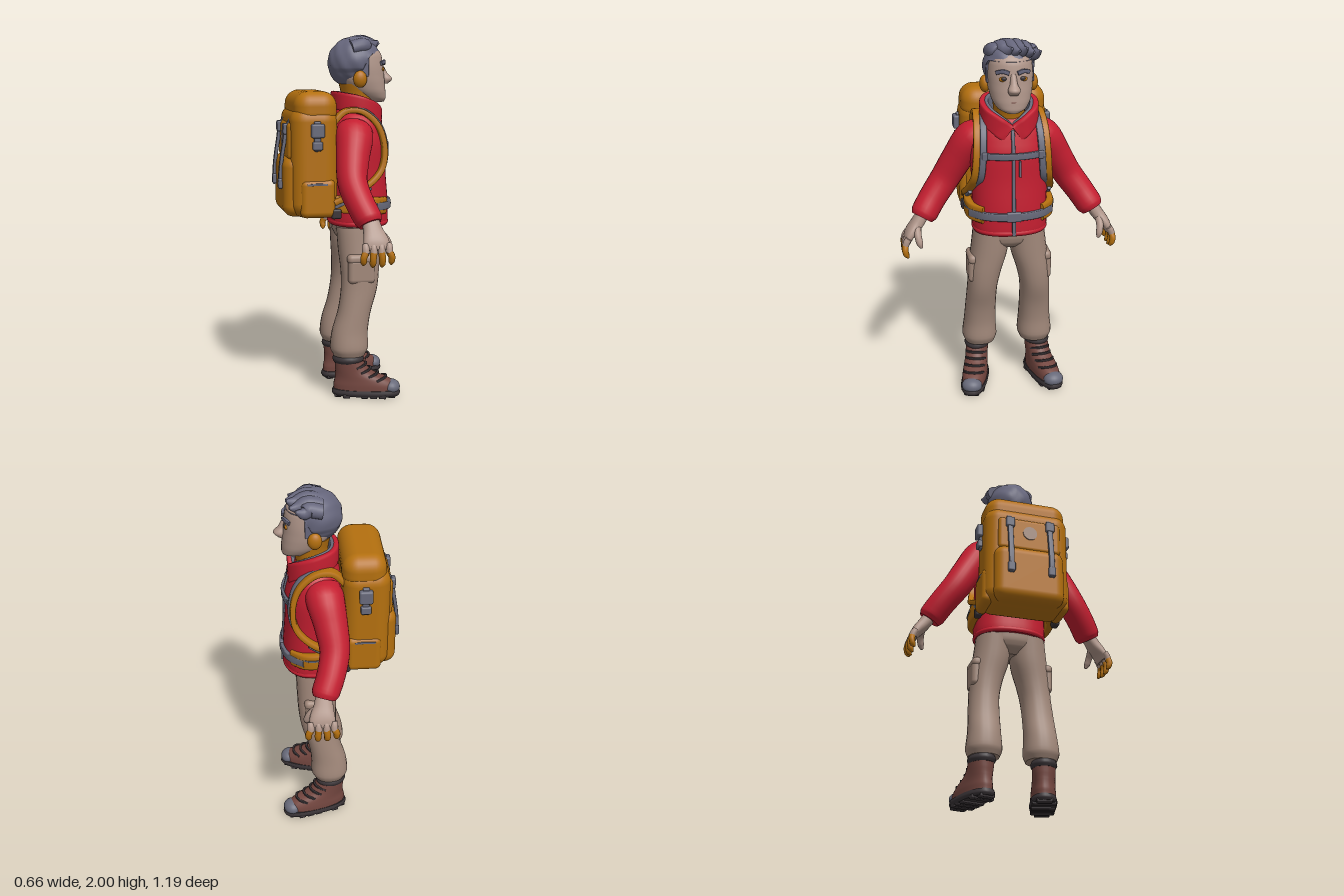
import * as THREE from 'three';
import { RoundedBoxGeometry } from 'three/addons/geometries/RoundedBoxGeometry.js';

const paint = (name, color) => {
  const m = new THREE.MeshStandardMaterial({ color });
  m.name = name;
  return m;
};

const X = new THREE.Vector3(1, 0, 0), Y = new THREE.Vector3(0, 1, 0), Z = new THREE.Vector3(0, 0, 1);

// Smooth loft through rows of [x, y, z, radiusU, radiusV]; u follows the ref axis.
// level keeps every ring horizontal (rows run upward), pow squares off the ellipse.
function loft(rows, { ref = X, level = false, pow = 2, n = 24, steps = 4 } = {}) {
  const centre = new THREE.CatmullRomCurve3(rows.map(r => new THREE.Vector3(r[0], r[1], r[2])));
  const radius = new THREE.CatmullRomCurve3(rows.map(r => new THREE.Vector3(r[3], r[4], 0)));
  const count = (rows.length - 1) * steps, pos = [], idx = [];
  const bend = c => Math.sign(c) * Math.abs(c) ** (2 / pow);
  for (let i = 0; i <= count; i++) {
    const k = i / count, p = centre.getPoint(k), r = radius.getPoint(k);
    const t = level ? Y.clone() : centre.getTangent(k);
    const u = ref.clone().addScaledVector(t, -ref.dot(t)).normalize();
    const v = t.clone().cross(u);
    for (let j = 0; j < n; j++) {
      const a = (j / n) * Math.PI * 2;
      const q = p.clone().addScaledVector(u, r.x * bend(Math.cos(a))).addScaledVector(v, r.y * bend(Math.sin(a)));
      pos.push(q.x, q.y, q.z);
    }
  }
  for (let i = 0; i < count; i++) for (let j = 0; j < n; j++) {
    const a = i * n + j, b = i * n + (j + 1) % n;
    idx.push(a, b, a + n, b, b + n, a + n);
  }
  // Flat end caps with their own vertices
  for (const end of [0, count]) {
    const base = pos.length / 3;
    for (let j = 0; j < n * 3; j++) pos.push(pos[end * n * 3 + j]);
    const c = centre.getPoint(end / count);
    pos.push(c.x, c.y, c.z);
    for (let j = 0; j < n; j++) {
      const a = base + j, b = base + (j + 1) % n;
      end ? idx.push(a, b, base + n) : idx.push(b, a, base + n);
    }
  }
  const g = new THREE.BufferGeometry();
  g.setAttribute('position', new THREE.Float32BufferAttribute(pos, 3));
  g.setIndex(idx);
  g.computeVertexNormals();
  return g;
}

// Flat band along points; its width lies along the ref axis
const band = (pts, width, thick, ref) =>
  loft(pts.map(p => [...p, width / 2, thick / 2]), { ref, pow: 5, n: 16, steps: 5 });
// Half a path, completed by its mirror image across z = 0
const across = half => [...half, ...half.filter(p => p[2]).reverse().map(p => [p[0], p[1], -p[2]])];
const side = (rows, s) => rows.map(r => [r[0], r[1], r[2] * s, ...r.slice(3)]);

export function createModel() {
  const root = new THREE.Group();
  root.name = 'hiker';
  const skin = paint('skin', 0xb0968a), orange = paint('ochre', 0xb4700f), red = paint('jacket red', 0xc41e30),
    khaki = paint('trouser khaki', 0xa1887a), hairGrey = paint('hair grey', 0x66667c),
    slate = paint('strap slate', 0x686a7a), brown = paint('boot brown', 0x744740), dark = paint('dark rubber', 0x3a3437);

  const add = (name, geo, mat, parent = root) => {
    const m = new THREE.Mesh(geo, mat);
    m.name = name;
    parent.add(m);
    return m;
  };
  const blob = (name, mat, p, r, parent) =>
    add(name, new THREE.SphereGeometry(1, 24, 16).scale(...r).translate(...p), mat, parent);
  const box = (name, mat, p, size, r, parent) =>
    add(name, new RoundedBoxGeometry(...size, 4, r).translate(...p), mat, parent);

  // Head
  add('neck', loft([[0.11, 1.5, 0, 0.09, 0.09], [0.13, 1.6, 0, 0.088, 0.085], [0.14, 1.67, 0, 0.098, 0.09],
    [0.13, 1.73, 0, 0.1, 0.1]], { level: true }), orange);
  add('head', loft([[0.232, 1.63, 0, 0.05, 0.04], [0.215, 1.648, 0, 0.075, 0.075], [0.185, 1.69, 0, 0.104, 0.102],
    [0.157, 1.75, 0, 0.126, 0.116], [0.145, 1.82, 0, 0.13, 0.12], [0.135, 1.89, 0, 0.128, 0.115],
    [0.12, 1.95, 0, 0.09, 0.08]], { level: true, pow: 2.25, n: 36 }), skin);
  add('nose', loft([[0.265, 1.835, 0, 0.012, 0.014], [0.284, 1.785, 0, 0.02, 0.02], [0.296, 1.755, 0, 0.034, 0.033],
    [0.285, 1.73, 0, 0.022, 0.024]].reverse(), { level: true }), skin);

  // Hair: a wavy dome trimmed along the hairline
  const dome = new THREE.SphereGeometry(1, 48, 36), hp = dome.attributes.position;
  for (let i = 0; i < hp.count; i++) {
    const a = hp.getX(i), b = hp.getY(i), c = hp.getZ(i);
    const w = 1 + 0.025 * Math.sin(9 * c + 5 * a) * Math.cos(7 * b + 3 * a);
    const x = 0.117 + a * 0.148 * w, k = THREE.MathUtils.smoothstep(x, 0.07, 0.2);
    hp.setXYZ(i, x, Math.max(1.845 + b * 0.143 * w, 1.71 + 0.185 * k), c * 0.136 * w * (b < -0.3 ? 0.93 : 1));
  }
  dome.computeVertexNormals();
  add('hair', dome, hairGrey);
  // Locks swept forward and to one side
  for (let i = 0; i < 6; i++) {
    const z = 0.085 - i * 0.038, h = 1.95 - 2.6 * z * z, f = 0.262 - 5 * (z + 0.01) ** 2;
    add('hairLock', loft([[0.08, h - 0.01, z, 0.04, 0.045], [0.15, h + 0.004, z - 0.005, 0.042, 0.042],
      [f - 0.045, h - 0.006, z - 0.022, 0.034, 0.03], [f, h + 0.016 * (i % 2), z - 0.045, 0.006, 0.008]], { ref: Y, n: 14 }), hairGrey);
  }
  for (const s of [1, -1]) {
    blob('ear', orange, [0.12, 1.757, 0.128 * s], [0.038, 0.046, 0.027]);
    box('sideburn', hairGrey, [0.145, 1.825, 0.118 * s], [0.05, 0.11, 0.016], 0.007);
    blob('eyeLid', orange, [0.262, 1.808, 0.05 * s], [0.01, 0.013, 0.024]);
    blob('eye', dark, [0.268, 1.811, 0.048 * s], [0.008, 0.011, 0.014]);
    add('eyebrow', band(side([[0.277, 1.84, 0.022], [0.271, 1.85, 0.052], [0.246, 1.84, 0.085]], s), 0.021, 0.016, Y), hairGrey);
  }
  add('mouth', band(across([[0.274, 1.692, 0.035], [0.288, 1.69, 0]]), 0.005, 0.006, Y), brown);

  // Jacket
  add('jacketBody', loft([[0.135, 0.955, 0, 0.153, 0.19], [0.135, 0.985, 0, 0.165, 0.205], [0.137, 1.1, 0, 0.16, 0.203],
    [0.13, 1.25, 0, 0.155, 0.205], [0.125, 1.4, 0, 0.155, 0.213], [0.115, 1.5, 0, 0.142, 0.2],
    [0.115, 1.56, 0, 0.12, 0.16], [0.11, 1.59, 0, 0.1, 0.115]], { level: true, pow: 2.3, n: 40 }), red);
  add('jacketHem', loft([[0.135, 0.955, 0, 0.16, 0.2], [0.135, 0.97, 0, 0.168, 0.207], [0.135, 0.99, 0, 0.16, 0.2]],
    { level: true, pow: 2.3, n: 40 }), red);
  const collar = [[0.246, 1.515, 0.022], [0.238, 1.55, 0.07], [0.19, 1.588, 0.125], [0.11, 1.62, 0.14], [0.03, 1.636, 0.1], [0.003, 1.64, 0]];
  add('collar', band(across(collar), 0.1, 0.034, Y), red);
  add('collarLining', band(across(collar.map(([x, y, z]) => [0.118 + (x - 0.118) * 0.84, y, z * 0.84])), 0.1, 0.022, Y), slate);
  add('zip', band([[0.303, 0.96, 0], [0.3, 1.1, 0], [0.287, 1.25, 0], [0.283, 1.4, 0], [0.261, 1.5, 0], [0.25, 1.535, 0]], 0.019, 0.014, Z), slate);
  box('zipPull', slate, [0.287, 1.33, -0.035], [0.012, 0.09, 0.012], 0.004);

  for (const s of [1, -1]) {
    // Sleeve and cuff
    add('sleeve', loft(side([[0.08, 1.5, 0.13, 0.085, 0.06], [0.075, 1.455, 0.195, 0.102, 0.09], [0.05, 1.34, 0.268, 0.09, 0.085],
      [0.035, 1.22, 0.338, 0.08, 0.08], [0.06, 1.12, 0.41, 0.076, 0.076], [0.092, 1.045, 0.46, 0.074, 0.074],
      [0.1, 1.02, 0.475, 0.06, 0.06]], s)), red);
    // Hand
    const hand = new THREE.Group();
    hand.name = 'hand';
    root.add(hand);
    add('palm', loft(side([[0.1, 1.05, 0.465, 0.042, 0.036], [0.107, 0.99, 0.505, 0.052, 0.035],
      [0.115, 0.94, 0.545, 0.068, 0.028], [0.115, 0.9, 0.562, 0.068, 0.02]], s), { pow: 2.4 }), skin, hand);
    for (let i = 0; i < 4; i++) {
      const x = 0.055 + i * 0.041, drop = [0.012, 0, 0, 0.012][i], tip = x + (i - 1.5) * 0.008;
      add('finger', loft(side([[x, 0.93, 0.555, 0.018, 0.018], [x, 0.91, 0.567, 0.02, 0.019],
        [x, 0.885, 0.575, 0.019, 0.018]], s), { n: 12 }), skin, hand);
      add('fingertip', loft(side([[x, 0.89, 0.574, 0.019, 0.018], [tip, 0.855 + drop, 0.577, 0.018, 0.017],
        [tip, 0.83 + drop, 0.571, 0.017, 0.016], [tip, 0.812 + drop, 0.56, 0.006, 0.006]], s), { n: 12 }), orange, hand);
    }
    add('thumb', loft(side([[0.13, 0.985, 0.505, 0.024, 0.022], [0.175, 0.945, 0.505, 0.021, 0.02],
      [0.195, 0.905, 0.497, 0.018, 0.018], [0.2, 0.88, 0.488, 0.007, 0.007]], s), { n: 12 }), skin, hand);

    // Trouser leg and cargo pocket
    add('trouserLeg', loft(side([[0.055, 0.235, 0.16, 0.088, 0.084], [0.055, 0.28, 0.16, 0.106, 0.098],
      [0.06, 0.37, 0.158, 0.1, 0.09], [0.085, 0.48, 0.155, 0.092, 0.086], [0.112, 0.6, 0.149, 0.1, 0.084],
      [0.12, 0.7, 0.136, 0.106, 0.092], [0.118, 0.82, 0.111, 0.114, 0.102], [0.115, 0.95, 0.1, 0.12, 0.097]], s),
      { level: true, pow: 2.2 }), khaki);
    box('cargoPocket', khaki, [0.115, 0.715, 0.205 * s], [0.15, 0.14, 0.055], 0.025);
    box('cargoPocketFlap', khaki, [0.115, 0.782, 0.203 * s], [0.16, 0.055, 0.06], 0.025);

    // Boot, turned slightly outward
    const boot = new THREE.Group();
    boot.name = 'boot';
    boot.position.set(0.048, 0, 0.173 * s);
    boot.rotation.y = -0.26 * s;
    root.add(boot);
    add('sole', loft([[0.1, 0.01, 0, 0.184, 0.068], [0.1, 0.026, 0, 0.192, 0.075], [0.1, 0.045, 0, 0.186, 0.071]],
      { level: true, pow: 2.5, n: 32 }), dark, boot);
    for (let i = 0; i < 7; i++) if (i !== 2)
      box('tread', dark, [-0.055 + i * 0.05, 0.011, 0], [0.04, 0.022, i === 0 || i === 6 ? 0.085 : 0.132], 0.006, boot);
    add('bootUpper', loft([[0.1, 0.035, 0, 0.182, 0.069], [0.095, 0.07, 0, 0.177, 0.069], [0.078, 0.103, 0, 0.153, 0.066],
      [0.03, 0.145, 0, 0.102, 0.063], [0.005, 0.2, 0, 0.08, 0.064], [0.0, 0.23, 0, 0.078, 0.064]],
      { level: true, pow: 2.2, n: 32 }), brown, boot);
    add('bootCuff', loft([[0, 0.195, 0, 0.08, 0.064], [0, 0.215, 0, 0.088, 0.073], [0, 0.238, 0, 0.08, 0.064]], { level: true }), dark, boot);
    blob('toeCap', slate, [0.24, 0.056, 0], [0.05, 0.042, 0.057], boot);
    for (const [x, y] of [[0.212, 0.114], [0.166, 0.135], [0.126, 0.158], [0.1, 0.185]])
      add('lace', band([[x - 0.05, y - 0.015, 0.056], [x - 0.012, y, 0.035], [x, y + 0.004, 0],
        [x - 0.012, y, -0.035], [x - 0.05, y - 0.015, -0.056]], 0.012, 0.012, Y), dark, boot);

    // Shoulder strap: padded ochre band with a slate webbing on its inner edge
    const strap = [[-0.04, 1.52, 0.16], [0.03, 1.585, 0.155], [0.12, 1.585, 0.16], [0.205, 1.515, 0.168],
      [0.243, 1.4, 0.175], [0.23, 1.28, 0.185], [0.16, 1.2, 0.205], [0.05, 1.14, 0.215], [-0.04, 1.1, 0.21]];
    add('shoulderStrap', band(side(strap, s), 0.068, 0.032, Z), orange);
    add('strapWebbing', band(side(strap.slice(1, 7).map(([x, y, z]) => [x + 0.011, y + 0.005, z - 0.018]), s), 0.036, 0.03, Z), slate);
    add('lowerWebbing', band(side(strap.slice(6).map(([x, y, z]) => [x, y - 0.02, z + 0.012]), s), 0.03, 0.02, Y), slate);
    box('strapBuckle', slate, [0.262, 1.4, 0.15 * s], [0.022, 0.045, 0.03], 0.007);
    // Hip pad with pouch
    add('hipPouch', band(side([[-0.03, 1.09, 0.2], [0.08, 1.085, 0.222], [0.18, 1.075, 0.21], [0.25, 1.07, 0.15]], s), 0.095, 0.045, Y), orange);
    add('pouchZip', band(side([[0.08, 1.1, 0.247], [0.16, 1.092, 0.24], [0.215, 1.09, 0.21]], s), 0.01, 0.008, Y), slate);
  }
  add('trouserSeat', loft([[0.12, 0.85, 0, 0.07, 0.08], [0.118, 0.885, 0, 0.108, 0.16], [0.115, 0.92, 0, 0.122, 0.185], [0.115, 0.99, 0, 0.128, 0.188]],
    { level: true, pow: 2.2 }), khaki);
  add('sternumStrap', band(across([[0.25, 1.4, 0.16], [0.278, 1.4, 0.09], [0.291, 1.4, 0]]), 0.036, 0.018, Y), slate);
  add('hipBelt', band(across([[0.19, 1.07, 0.222], [0.265, 1.07, 0.157], [0.298, 1.07, 0.08], [0.306, 1.07, 0]]), 0.044, 0.022, Y), slate);
  box('beltBuckle', slate, [0.306, 1.07, 0], [0.022, 0.055, 0.08], 0.008);

  // Backpack
  const pack = new THREE.Group();
  pack.name = 'backpack';
  root.add(pack);
  box('packBody', orange, [-0.143, 1.315, 0], [0.255, 0.6, 0.48], 0.08, pack);
  box('packLid', orange, [-0.133, 1.6, 0], [0.235, 0.19, 0.465], 0.08, pack);
  box('frontPocket', orange, [-0.232, 1.185, 0], [0.155, 0.33, 0.4], 0.06, pack);
  box('frontPanel', orange, [-0.26, 1.43, 0], [0.05, 0.2, 0.36], 0.024, pack);
  const patch = add('roundPatch', new THREE.CylinderGeometry(0.04, 0.04, 0.008, 28), khaki, pack);
  patch.rotation.z = Math.PI / 2;
  patch.position.set(-0.287, 1.44, 0);
  for (const s of [1, -1]) {
    box('sidePocket', orange, [-0.13, 1.125, 0.215 * s], [0.19, 0.21, 0.07], 0.034, pack);
    add('sidePocketZip', band([[-0.19, 1.2, 0.246 * s], [-0.13, 1.204, 0.248 * s], [-0.08, 1.2, 0.246 * s]], 0.012, 0.008, Y), slate, pack);
    add('compressionStrap', band([[-0.25, 1.56, 0.115 * s], [-0.283, 1.5, 0.115 * s], [-0.296, 1.42, 0.115 * s],
      [-0.31, 1.33, 0.115 * s], [-0.318, 1.24, 0.115 * s], [-0.316, 1.17, 0.115 * s]], 0.03, 0.02, Z), slate, pack);
    box('compressionBuckle', slate, [-0.288, 1.495, 0.115 * s], [0.03, 0.06, 0.05], 0.009, pack);
    box('lowerBuckle', slate, [-0.319, 1.2, 0.115 * s], [0.024, 0.055, 0.042], 0.009, pack);
    box('sideStrap', slate, [-0.135, 1.46, 0.243 * s], [0.036, 0.16, 0.022], 0.007, pack);
    box('sideBuckle', slate, [-0.135, 1.49, 0.254 * s], [0.072, 0.075, 0.036], 0.011, pack);
    box('sideClip', slate, [-0.135, 1.41, 0.25 * s], [0.055, 0.045, 0.03], 0.009, pack);
    box('baseBuckle', dark, [-0.03, 1.04, 0.225 * s], [0.055, 0.055, 0.04], 0.012, pack);
  }
  return root;
}
